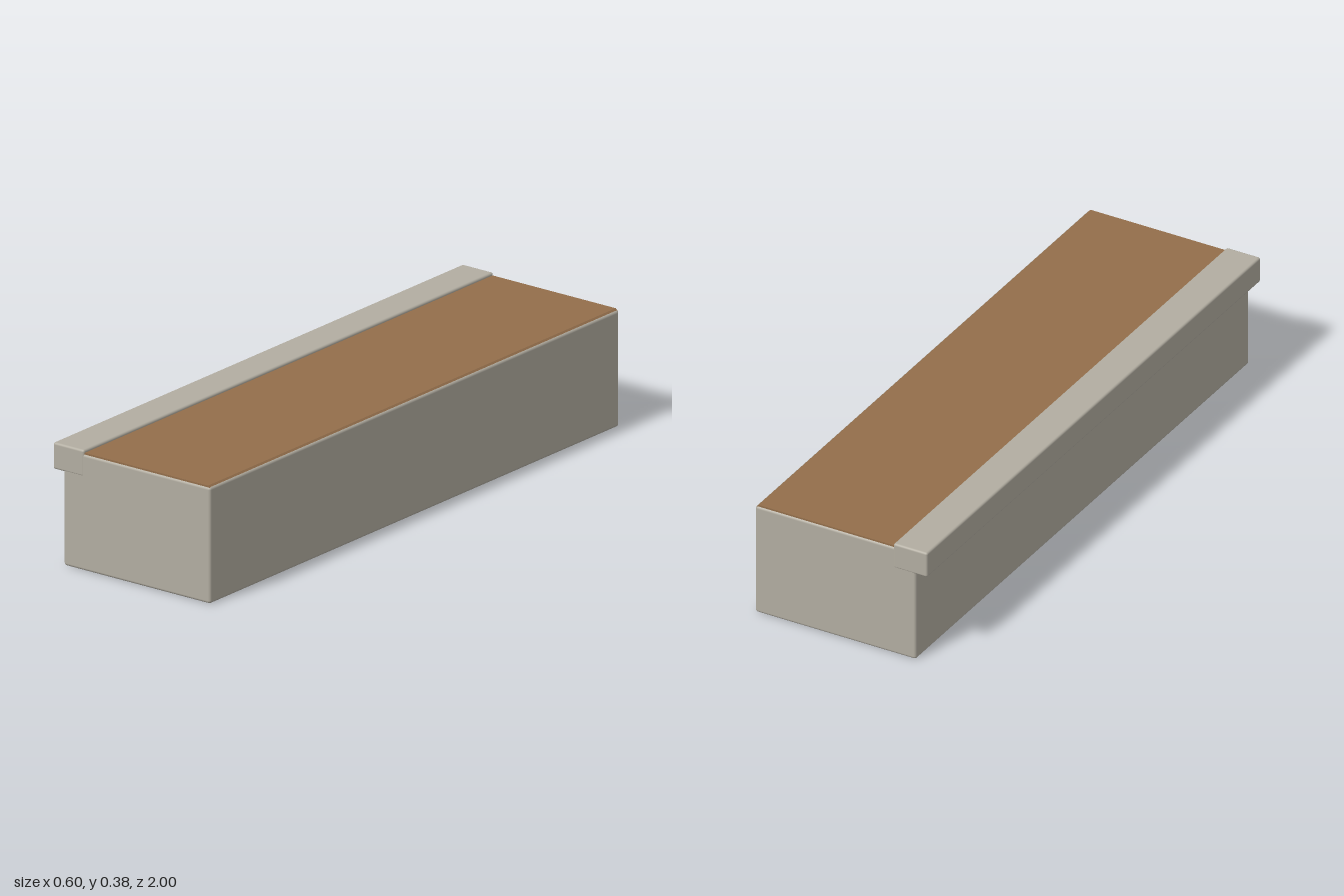
import * as THREE from 'three';
import { RoundedBoxGeometry } from 'three/addons/geometries/RoundedBoxGeometry.js';

export function createModel() {
  const group = new THREE.Group();
  const stone = new THREE.MeshStandardMaterial({ color: 0xb2ada1 });
  stone.name = 'pale stone';
  const earth = new THREE.MeshStandardMaterial({ color: 0x936e4b });
  earth.name = 'brown earth';

  // Softly rounded block spanning x0..x1, y0..y1 and centred along z
  function block(name, x0, x1, y0, y1, length, radius, material) {
    const geometry = new RoundedBoxGeometry(x1 - x0, y1 - y0, length, 3, radius);
    const mesh = new THREE.Mesh(geometry, material);
    mesh.position.set((x0 + x1) / 2, (y0 + y1) / 2, 0);
    mesh.name = name;
    group.add(mesh);
  }

  // Long stone body
  block('body', -0.26, 0.299, 0, 0.372, 1.998, 0.009, stone);
  // Overhanging kerb along the right edge
  block('kerb', -0.3, -0.182, 0.3, 0.385, 2, 0.007, stone);

  // Thin brown surface with sloped edges, laid on top of the body
  const section = new THREE.Shape([
    new THREE.Vector2(-0.19, 0.37),
    new THREE.Vector2(0.295, 0.37),
    new THREE.Vector2(0.288, 0.376),
    new THREE.Vector2(-0.19, 0.376),
  ]);
  const slab = new THREE.ExtrudeGeometry(section, { depth: 1.99, bevelEnabled: false });
  slab.translate(0, 0, -0.995);
  const surface = new THREE.Mesh(slab, earth);
  surface.name = 'topSurface';
  group.add(surface);

  return group;
}
